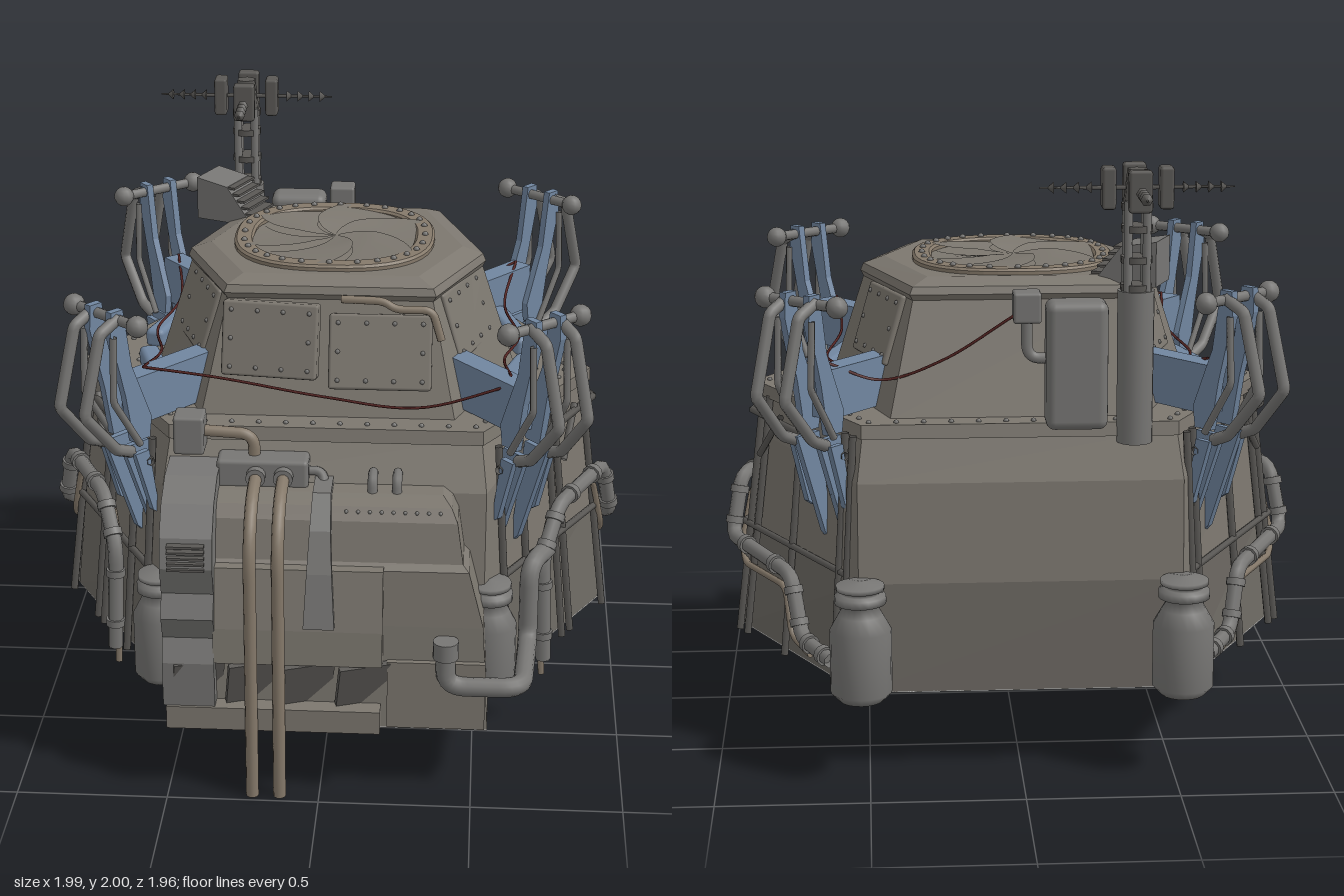
import * as THREE from 'three';
import { mergeGeometries } from 'three/addons/utils/BufferGeometryUtils.js';
import { RoundedBoxGeometry } from 'three/addons/geometries/RoundedBoxGeometry.js';

const BODY = 0x7c776f, LOWER = 0x6d6963, METAL = 0x777674, DARK = 0x5a5855, PALE = 0xcccccc;
const BLUE = 0x7186a0, RUST = 0x85796a, RED = 0x552523;
const mats = {};
const mat = (c) => (mats[c] ??= new THREE.MeshStandardMaterial({ color: c, side: THREE.DoubleSide }));
const V = (x, y, z) => new THREE.Vector3(x, y, z);

function add(parent, geo, name, color = BODY, pos = [0, 0, 0], rot = [0, 0, 0]) {
  const m = new THREE.Mesh(geo, mat(color));
  m.name = name;
  m.position.set(...pos);
  m.rotation.set(rot[0], rot[1], rot[2], 'YXZ');
  parent.add(m);
  return m;
}
const box = (w, h, d) => new THREE.BoxGeometry(w, h, d);
const cyl = (r0, r1, h, n = 16) => new THREE.CylinderGeometry(r0, r1, h, n);

// Flat-faced solid through horizontal rings of corners
function loft(rings) {
  const out = [], tri = (...p) => p.forEach((v) => out.push(v.x, v.y, v.z));
  const n = rings[0].length, top = rings[rings.length - 1];
  for (let i = 0; i < n; i++) {
    const j = (i + 1) % n;
    for (let k = 0; k + 1 < rings.length; k++) {
      const a = rings[k], b = rings[k + 1];
      tri(a[i], a[j], b[j]);
      tri(a[i], b[j], b[i]);
    }
    if (i && j) { tri(top[0], top[i], top[j]); tri(rings[0][0], rings[0][j], rings[0][i]); }
  }
  const g = new THREE.BufferGeometry();
  g.setAttribute('position', new THREE.Float32BufferAttribute(out, 3));
  g.computeVertexNormals();
  return g;
}
// Hexagon: half width, corner x, rear depth, front depth
const hex = (y, w, c, b, f) => [[w, 0], [c, -b], [-c, -b], [-w, 0], [-c, f], [c, f]].map(([x, z]) => V(x, y, z));
const rect = (y, x0, x1, z0, z1) => [V(x1, y, z1), V(x1, y, z0), V(x0, y, z0), V(x0, y, z1)];

// Side profile with thickness centred on local z
function plate(pts, depth) {
  const s = new THREE.Shape(pts.map((p) => new THREE.Vector2(...p)));
  return new THREE.ExtrudeGeometry(s, { depth, bevelEnabled: false }).translate(0, 0, -depth / 2);
}
const plateX = (pts, depth) => plate(pts, depth).rotateY(-Math.PI / 2);

// Pipe with rounded bends
function pipe(parent, pts, r, name, color = METAL, bend = 0.05, sides = 8) {
  const p = pts.map((q) => V(...q)), path = new THREE.CurvePath();
  let last = p[0];
  for (let i = 1; i < p.length - 1; i++) {
    const toward = (q) => p[i].clone().add(q.clone().sub(p[i]).setLength(Math.min(bend, p[i].distanceTo(q) * 0.45)));
    const a = toward(p[i - 1]), b = toward(p[i + 1]);
    path.add(new THREE.LineCurve3(last, a));
    path.add(new THREE.QuadraticBezierCurve3(a, p[i], b));
    last = b;
  }
  path.add(new THREE.LineCurve3(last, p[p.length - 1]));
  add(parent, new THREE.TubeGeometry(path, p.length === 2 ? 1 : p.length * 10, r, sides), name, color);
}
// Collars near both ends of every straight run
function collars(parent, pts, r) {
  for (let i = 0; i + 1 < pts.length; i++) for (const t of [0.25, 0.75]) {
    const a = V(...pts[i]), b = V(...pts[i + 1]);
    const c = add(parent, cyl(r, r, 0.025, 12), 'pipeCollar', METAL, a.clone().lerp(b, t).toArray());
    c.quaternion.setFromUnitVectors(V(0, 1, 0), b.sub(a).normalize());
  }
}
function wire(parent, pts) {
  const c = new THREE.CatmullRomCurve3(pts.map((q) => V(...q)));
  add(parent, new THREE.TubeGeometry(c, 32, 0.005, 5), 'wire', RED);
}
function rivets(parent, pts, r = 0.009) {
  add(parent, mergeGeometries(pts.map((p) => new THREE.SphereGeometry(r, 6, 4).translate(...p))), 'rivets', METAL);
}
// Riveted armour plate
function armour(parent, w, h, pos, rotY, tilt, name, t = 0.03) {
  const m = add(parent, new RoundedBoxGeometry(w, h, t, 1, 0.01), name, BODY, pos, [tilt, rotY, 0]);
  const pts = [];
  for (const u of [-1, -0.33, 0.33, 1]) for (const v of [-1, 0, 1])
    if (v || Math.abs(u) === 1) pts.push([u * (w / 2 - 0.03), v * (h / 2 - 0.03), t / 2]);
  rivets(m, pts, 0.008);
}
// Side wall surface, used to hang struts and pipes
function wallX(z, y, off) {
  const w = 0.95 - (y - 0.28) * 0.1;
  return w - (Math.abs(z) * (w - 0.53)) / 0.74 + off;
}

function buildHull(g) {
  const mid = hex(0.65, 0.9, 0.53, 0.74, 0.72);
  add(g, loft([hex(0.28, 0.94, 0.53, 0.74, 0.72), mid]), 'lowerHull', LOWER);
  add(g, loft([mid, hex(0.98, 0.87, 0.53, 0.715, 0.67), hex(1.14, 0.85, 0.51, 0.66, 0.58)]), 'upperHull');
  add(g, loft([hex(0.277, 0.94, 0.53, 0.74, 0.72), hex(0.281, 0.94, 0.53, 0.74, 0.72)]), 'floor', PALE);
  add(g, loft([hex(1.12, 0.88, 0.515, 0.68, 0.6), hex(1.165, 0.88, 0.515, 0.67, 0.59)]), 'deck');
  const edge = hex(1.167, 0.83, 0.49, 0.64, 0.555), pts = [];
  edge.forEach((a, i) => { for (let k = 0; k < 11; k++) pts.push(a.clone().lerp(edge[(i + 1) % 6], k / 11).toArray()); });
  for (const s of [-1, 1]) for (const z of [-0.03, 0.03]) for (let k = 0; k < 4; k++) pts.push([s * (0.64 + k * 0.05), 1.167, z]);
  rivets(g, pts);
  for (const s of [-1, 1]) {
    // Vertical struts, rails and braces
    for (const z of [0.62, 0.48, 0.29, 0.24, 0.03, -0.03, -0.08, -0.32, -0.62, -0.67])
      pipe(g, [[s * wallX(z, 0.27, 0.02), 0.27, z], [s * (wallX(z, 1.13, 0) - Math.abs(z) * 0.03), 1.13, z]], 0.014, 'strut', DARK, 0, 6);
    for (const [y, r] of [[1.06, 0.014], [0.66, 0.012]]) for (const e of [-1, 1])
      pipe(g, [[s * wallX(0, y, 0.02), y, 0], [s * wallX(0.66, y, 0), y, e * 0.66]], r, 'rail', DARK, 0, 6);
    for (const [z0, z1] of [[0.24, 0.12], [0.48, 0.38], [-0.08, -0.2], [-0.62, -0.5]])
      pipe(g, [[s * wallX(z0, 0.92, 0.02), 0.92, z0], [s * wallX(z1, 1.08, 0.01), 1.08, z1]], 0.012, 'brace', DARK, 0, 6);
    // Side plumbing
    const run = (list, off) => list.map(([z, y]) => [s * wallX(z, y, off), y, z]);
    const main = run([[0.48, 0.28], [0.48, 0.66], [0.36, 0.81], [0.04, 0.82], [-0.01, 0.61], [-0.42, 0.59], [-0.5, 0.39], [-0.68, 0.37]], 0.06);
    pipe(g, main, 0.026, 'sidePipe', METAL, 0.05);
    collars(g, main, 0.033);
    pipe(g, run([[0.44, 0.2], [0.44, 0.62], [0.37, 0.77], [0.06, 0.77], [0.02, 0.58], [-0.05, 0.52], [-0.33, 0.52], [-0.38, 0.36], [-0.5, 0.33]], 0.03), 0.012, 'thinPipe', RUST, 0.04, 6);
    // Canisters at the four corners
    for (const [x, z, k] of [[0.55, 0.685, 1], [0.525, -0.8, 1.12]]) {
      const prof = [[0, 0.28], [0.065, 0.28], [0.09, 0.31], [0.09, 0.52], [0.065, 0.57], [0.05, 0.6], [0.075, 0.61], [0.075, 0.635], [0.055, 0.64], [0.055, 0.65], [0.07, 0.655], [0.07, 0.67], [0, 0.68]];
      add(g, new THREE.LatheGeometry(prof.map(([r, y]) => new THREE.Vector2(r * k, y)), 20), 'canister', METAL, [s * x, 0, z]);
    }
    // Padded blocks on the deck
    for (const e of [-1, 1])
      add(g, new RoundedBoxGeometry(0.07, 0.07, 0.35, 2, 0.02), 'pad', BLUE, [s * 0.605, 1.19, -0.045 + e * 0.235], [0, -s * e * 0.3, 0]);
  }
}

function buildTurret(g) {
  const zc = -0.045, ring = (y, w, c, d) => hex(y, w, c, d - zc, d + zc);
  add(g, loft([ring(1.16, 0.62, 0.42, 0.54), ring(1.53, 0.5, 0.34, 0.41), ring(1.55, 0.51, 0.35, 0.42), ring(1.575, 0.5, 0.34, 0.41), ring(1.6, 0.43, 0.29, 0.36)]), 'turret');
  armour(g, 0.32, 0.25, [-0.19, 1.415, 0.44], -0.12, -0.22, 'frontPlate', 0.06);
  armour(g, 0.34, 0.25, [0.17, 1.375, 0.435], 0, -0.33, 'frontPlate');
  for (const s of [-1, 1]) for (const e of [-1, 1])
    armour(g, 0.3, 0.24, [s * 0.448, 1.42, zc + e * 0.23], Math.atan2(s * 0.54, e * 0.2), -0.3, 'sidePlate', 0.025);
  pipe(g, [[0.04, 1.545, 0.4], [0.18, 1.545, 0.41], [0.22, 1.52, 0.42], [0.34, 1.52, 0.42], [0.37, 1.42, 0.43]], 0.014, 'conduit', RUST, 0.03);
  // Hatch rim
  const soft = (r, n = 48) => Array.from({ length: n }, (_, i) => {
    const a = (i / n) * Math.PI * 2, f = (v) => Math.sign(v) * Math.abs(v) ** 0.8;
    return new THREE.Vector2(f(Math.cos(a)) * r, f(Math.sin(a)) * r);
  });
  const rim = new THREE.Shape(soft(0.335));
  rim.holes.push(new THREE.Path(soft(0.285)));
  const rimGeo = new THREE.ExtrudeGeometry(rim, { depth: 0.03, bevelSize: 0.008, bevelThickness: 0.008, bevelSegments: 1 });
  add(g, rimGeo.rotateX(-Math.PI / 2), 'hatchRim', RUST, [-0.01, 1.582, -0.055]);
  rivets(g, soft(0.31, 28).map((p) => [p.x - 0.01, 1.621, p.y - 0.055]), 0.011);
  // Six swirled, overlapping iris blades
  const step = Math.PI / 3;
  for (let k = 0; k < 6; k++) {
    const blade = new THREE.RingGeometry(0.002, 0.32, 10, 10, 0, step).rotateX(-Math.PI / 2), p = blade.attributes.position;
    for (let i = 0; i < p.count; i++) {
      const r = Math.hypot(p.getX(i), p.getZ(i)), t = Math.atan2(-p.getZ(i), p.getX(i)), a = t + k * step + 0.4 - r * 3;
      p.setXYZ(i, r * Math.cos(a), 0.012 * (1 - r / 0.32) + 0.022 * (t / step) * Math.min(1, r * 8), -r * Math.sin(a));
    }
    blade.computeVertexNormals();
    add(g, blade, 'irisBlade', BODY, [-0.01, 1.6, -0.055]);
  }
  // Slatted vent
  const vent = new THREE.Group();
  vent.name = 'vent';
  vent.position.set(-0.385, 0, -0.37);
  vent.rotation.y = -0.4;
  add(vent, plate([[-0.11, 1.57], [0.11, 1.57], [0.01, 1.7], [-0.11, 1.72]], 0.16), 'ventBody', METAL);
  for (let k = 0; k < 6; k++) add(vent, box(0.035, 0.008, 0.15), 'ventSlat', DARK, [0.115 - k * 0.019, 1.585 + k * 0.022, 0]);
  g.add(vent);
}

function buildFrontUnit(g) {
  add(g, loft([rect(0.235, -0.48, 0.55, 0.25, 0.9), rect(0.6, -0.48, 0.53, 0.4, 0.885), rect(0.79, -0.44, 0.48, 0.4, 0.87), rect(0.81, -0.44, 0.46, 0.4, 0.85), rect(0.94, -0.4, 0.44, 0.4, 0.82), rect(0.98, -0.39, 0.42, 0.4, 0.79), rect(1.0, -0.38, 0.39, 0.4, 0.73)]), 'engineHousing');
  add(g, loft([rect(0.232, -0.48, 0.55, 0.25, 0.9), rect(0.236, -0.48, 0.55, 0.25, 0.9)]), 'engineFloor', PALE);
  add(g, box(0.7, 0.08, 0.3), 'lowerSill', BODY, [-0.15, 0.28, 0.81]);
  add(g, plateX([[0.8, 0.48], [0.95, 0.48], [0.94, 0.6], [0.9, 0.8], [0.8, 0.8]], 0.55), 'frontCowl', BODY, [-0.07, 0, 0]);
  add(g, box(0.32, 0.24, 0.1), 'lowerBlock', BODY, [0.38, 0.36, 0.86]);
  for (let k = 0; k < 4; k++) add(g, box(0.17, 0.16, 0.02), 'intakeVane', DARK, [-0.4 + k * 0.18, 0.4, 0.91], [0.3, 0.35, 0]);
  rivets(g, Array.from({ length: 9 }, (_, k) => [0.08 + k * 0.038, 0.965, 0.8]), 0.007);
  // Curved side cowl with louvres
  add(g, plateX([[0.55, 0.3], [0.95, 0.32], [0.96, 0.48], [0.93, 0.56], [0.96, 0.64], [0.93, 0.72], [0.96, 0.82], [0.94, 0.92], [0.87, 1.01], [0.76, 1.06], [0.55, 1.07]], 0.17), 'sideCowl', METAL, [-0.425, 0, 0]);
  for (let k = 0; k < 5; k++) add(g, box(0.12, 0.008, 0.03), 'louvre', DARK, [-0.425, 0.82 + k * 0.02, 0.955]);
  // Manifold, feed box and drop pipes
  add(g, new RoundedBoxGeometry(0.3, 0.1, 0.1, 2, 0.015), 'manifold', METAL, [-0.2, 1.04, 0.65]);
  add(g, new RoundedBoxGeometry(0.1, 0.13, 0.1, 2, 0.01), 'feedBox', METAL, [-0.44, 1.165, 0.64]);
  pipe(g, [[-0.4, 1.17, 0.64], [-0.23, 1.16, 0.64], [-0.23, 1.05, 0.64]], 0.02, 'feedPipe', RUST);
  pipe(g, [[-0.08, 1.04, 0.65], [0, 1.04, 0.65], [0, 0.97, 0.7]], 0.016, 'linkPipe');
  for (const x of [-0.22, -0.13]) {
    pipe(g, [[x, 1.04, 0.66], [x, 1.03, 0.86], [x, 0.9, 0.965], [x, 0, 0.965]], 0.021, 'dropPipe', RUST, 0.1, 10);
    add(g, cyl(0.032, 0.032, 0.04), 'pipeCollar', METAL, [x, 1.04, 0.71], [Math.PI / 2, 0, 0]);
  }
  // Flared strap over the front
  const strap = plateX([[0.62, 1.02], [0.78, 1.02], [0.88, 0.93], [0.93, 0.8], [0.965, 0.62], [0.94, 0.62], [0.9, 0.8], [0.85, 0.9], [0.77, 0.98], [0.62, 0.98]], 0.06), sp = strap.attributes.position;
  for (let i = 0; i < sp.count; i++) sp.setX(i, sp.getX(i) * (1 + Math.max(0, 1 - sp.getY(i)) * 1.8));
  strap.computeVertexNormals();
  add(g, strap, 'strap', METAL);
  for (const x of [0.16, 0.24]) pipe(g, [[x, 0.98, 0.63], [x, 1.045, 0.64], [x, 1.045, 0.71], [x, 0.98, 0.72]], 0.016, 'handle', METAL, 0.03);
  // Exhaust
  pipe(g, [[0.41, 0.53, 0.92], [0.41, 0.405, 0.92], [0.66, 0.405, 0.92], [0.68, 0.405, 0.58], [0.68, 0.68, 0.57], [0.74, 0.68, 0.44]], 0.032, 'exhaust', METAL, 0.07, 12);
  add(g, cyl(0.042, 0.042, 0.06), 'exhaustCap', METAL, [0.41, 0.54, 0.92]);
}

// Bladed support arm: local x points outward, symmetric about local z
function buildArm(sx, sz) {
  const a = new THREE.Group();
  a.name = 'cornerArm';
  a.position.set(sx * 0.655, 0, sz * 0.61);
  a.rotation.y = -Math.atan2(sz * 0.77, sx * 0.64);
  add(a, box(0.36, 0.165, 0.08), 'armBlock', BLUE, [-0.2, 1.255, 0]);
  pipe(a, [[0.07, 1.57, -0.15], [0.07, 1.57, 0.15]], 0.018, 'crossBar');
  for (const t of [-1, 1]) {
    add(a, plate([[-0.05, 1.13], [0.02, 1.13], [0.05, 1.3], [0.105, 1.52], [0.1, 1.6], [0.05, 1.6], [0.02, 1.4], [-0.06, 1.2]], 0.025), 'upperBlade', BLUE, [0, 0, t * 0.05]);
    add(a, plate([[-0.05, 1.12], [0.06, 1.12], [-0.07, 0.77], [-0.11, 0.73]], 0.02), 'lowerBlade', BLUE, [0, 0, t * 0.045]);
    add(a, plate([[-0.02, 1.1], [0.04, 1.1], [-0.03, 0.88], [-0.06, 0.86]], 0.02), 'lowerBlade', BLUE, [0, 0, t * 0.08]);
    add(a, new THREE.SphereGeometry(0.036, 12, 8), 'knob', METAL, [0.07, 1.57, t * 0.15]);
    pipe(a, [[0.03, 1.1, t * 0.06], [0.1, 1.13, t * 0.065], [0.225, 1.28, t * 0.06], [0.15, 1.54, t * 0.06], [0.07, 1.575, t * 0.06]], 0.02, 'bentRod', METAL, 0.015);
    pipe(a, [[0, 1.12, t * 0.07], [0.11, 1.3, t * 0.07], [0.1, 1.52, t * 0.07]], 0.012, 'innerRod', METAL, 0.015, 6);
  }
  return a;
}

function buildMast(g) {
  const m = new THREE.Group();
  m.name = 'mast';
  m.position.set(-0.37, 0, -0.67);
  add(m, cyl(0.06, 0.058, 0.5), 'mastBase', METAL, [0, 1.35, 0]);
  for (const x of [-0.03, 0.03]) for (const z of [-0.03, 0.03]) add(m, cyl(0.014, 0.014, 0.34, 8), 'mastRod', METAL, [x, 1.72, z]);
  for (const y of [1.61, 1.7, 1.8, 1.87]) add(m, cyl(0.052, 0.052, 0.022, 10), 'mastCollar', DARK, [0, y, 0]);
  add(m, cyl(0.035, 0.05, 0.12, 6), 'mastHead', DARK, [0, 1.93, 0]);
  // Four spiked arms
  for (let k = 0; k < 4; k++) {
    const s = new THREE.Group();
    s.name = 'spikedArm';
    s.position.y = 1.93;
    s.rotation.y = (k * Math.PI) / 2;
    add(s, new RoundedBoxGeometry(0.045, 0.135, 0.075, 1, 0.01), 'vane', DARK, [0.092, 0, 0]);
    add(s, cyl(0.003, 0.009, 0.31, 6), 'spike', DARK, [0.155, 0, 0], [0, 0, -Math.PI / 2]);
    for (let j = 0; j < 4; j++) add(s, cyl(0.004, 0.02, 0.018, 6), 'barb', DARK, [0.155 + j * 0.04, 0, 0], [0, 0, -Math.PI / 2]);
    m.add(s);
  }
  g.add(m);
  // Rear equipment boxes
  add(g, new RoundedBoxGeometry(0.2, 0.42, 0.12, 3, 0.03), 'rearTank', METAL, [-0.18, 1.36, -0.67]);
  add(g, new RoundedBoxGeometry(0.09, 0.1, 0.09, 2, 0.01), 'rearBox', METAL, [-0.02, 1.55, -0.67]);
  pipe(g, [[-0.02, 1.52, -0.67], [-0.02, 1.38, -0.67], [-0.12, 1.38, -0.67]], 0.018, 'rearPipe');
  for (const x of [-0.36, -0.19]) add(g, box(0.05, 0.05, 0.25), 'rearBracket', DARK, [x, 1.36, -0.54]);
}

export function createModel() {
  const g = new THREE.Group();
  g.name = 'armouredPod';
  buildHull(g);
  buildTurret(g);
  buildFrontUnit(g);
  buildMast(g);
  for (const sx of [-1, 1]) for (const sz of [-1, 1]) g.add(buildArm(sx, sz));
  wire(g, [[-0.6, 1.35, 0.55], [-0.35, 1.31, 0.53], [0, 1.25, 0.53], [0.3, 1.22, 0.53], [0.62, 1.33, 0.57]]);
  for (const s of [-1, 1]) wire(g, [[s * 0.6, 1.35, 0.55], [s * 0.58, 1.29, 0.25], [s * 0.63, 1.26, -0.05], [s * 0.58, 1.28, -0.3], [s * 0.62, 1.35, -0.57]]);
  wire(g, [[0.02, 1.52, -0.67], [0.25, 1.36, -0.6], [0.45, 1.28, -0.52], [0.62, 1.35, -0.57]]);
  return g;
}
